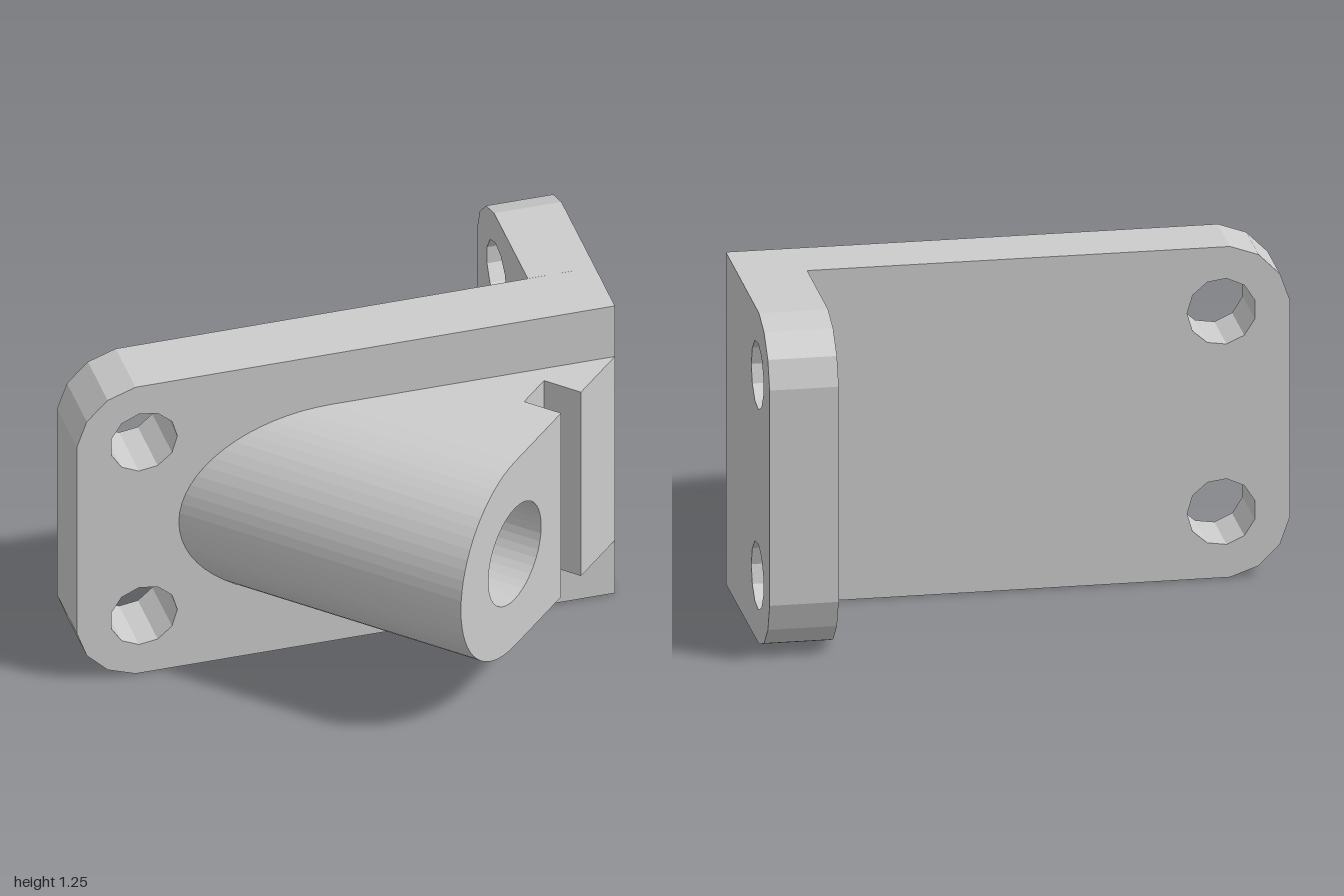
import * as THREE from 'three';

const material = new THREE.MeshStandardMaterial({ color: 0xcccccc, flatShading: true });
const H = 1.25; // bracket height
const T = 0.25; // plate thickness
const R = 0.4; // boss radius
const MID = 0.63; // boss centre height
const FACE = 1.145; // length of the slanted boss face

function makeMesh(name, geometry) {
  const mesh = new THREE.Mesh(geometry, material);
  mesh.name = name;
  return mesh;
}

// Points along an arc, angles in degrees
function arc(cx, cy, r, from, to, steps) {
  return Array.from({ length: steps + 1 }, (_, i) => {
    const a = THREE.MathUtils.degToRad(from + ((to - from) * i) / steps);
    return new THREE.Vector2(cx + r * Math.cos(a), cy + r * Math.sin(a));
  });
}

// Plate running from x = 0 to x = -length, with coarse rounded far corners and two bolt holes
function plate(name, length) {
  const cx = -length + 0.25;
  const shape = new THREE.Shape([
    new THREE.Vector2(0, 0),
    new THREE.Vector2(0, H),
    ...arc(cx, H - 0.25, 0.25, 97, 173, 3),
    ...arc(cx, 0.25, 0.25, 187, 263, 3),
  ]);
  for (const y of [0.25, 1.005]) {
    shape.holes.push(new THREE.Path(arc(cx, y, 0.125, 360, 0, 11).slice(0, -1)));
  }
  return makeMesh(name, new THREE.ExtrudeGeometry(shape, { depth: T, bevelEnabled: false }));
}

// Boss section: extruded inwards from depth `front` to depth back(u)
function bossPart(name, shape, front, back) {
  const g = new THREE.ExtrudeGeometry(shape, { depth: 1, bevelEnabled: false, curveSegments: 24 });
  const p = g.attributes.position;
  for (let i = 0; i < p.count; i++) {
    p.setZ(i, p.getZ(i) > 0.5 ? -front : -back(p.getX(i)));
  }
  g.computeVertexNormals();
  return makeMesh(name, g);
}

// Outline of the rounded nose of the boss
function noseShape(end) {
  return new THREE.Shape([
    ...arc(R, MID, R, 90, 270, 32),
    new THREE.Vector2(end, MID - R),
    new THREE.Vector2(end, MID + R),
  ]);
}

function stripShape(u0, u1) {
  return new THREE.Shape([
    new THREE.Vector2(u0, MID - R),
    new THREE.Vector2(u1, MID - R),
    new THREE.Vector2(u1, MID + R),
    new THREE.Vector2(u0, MID + R),
  ]);
}

export function createModel() {
  const model = new THREE.Group();
  model.name = 'angleBracket';

  // L-shaped mounting plates
  const mainPlate = plate('mainPlate', 2);
  mainPlate.position.set(1, 0, -0.21);
  const sideFlange = plate('sideFlange', 0.645);
  sideFlange.position.set(1, 0, -0.21);
  sideFlange.rotation.y = -Math.PI / 2;
  model.add(mainPlate, sideFlange);

  // Slanted boss at 45 degrees, cut off flush with the main plate
  const boss = new THREE.Group();
  boss.name = 'slantedBoss';
  boss.position.set(0.19, 0, 0.85);
  boss.rotation.y = Math.PI / 4;
  const toPlate = (u) => FACE - u;
  const holeDepth = 0.4;
  const notchStart = FACE - holeDepth;
  const notchEnd = 0.893;

  // Nose with a blind round bore
  const bored = noseShape(notchStart);
  bored.holes.push(new THREE.Path(arc(R, MID, 0.197, 360, 0, 40).slice(0, -1)));
  boss.add(bossPart('boredNose', bored, 0, () => holeDepth));
  boss.add(bossPart('noseBase', noseShape(notchStart), holeDepth, toPlate));

  // Groove floor and the rib beside it
  boss.add(bossPart('grooveFloor', stripShape(notchStart, notchEnd), 0.15, toPlate));
  boss.add(bossPart('edgeRib', stripShape(notchEnd, FACE), 0, toPlate));
  model.add(boss);

  return model;
}
